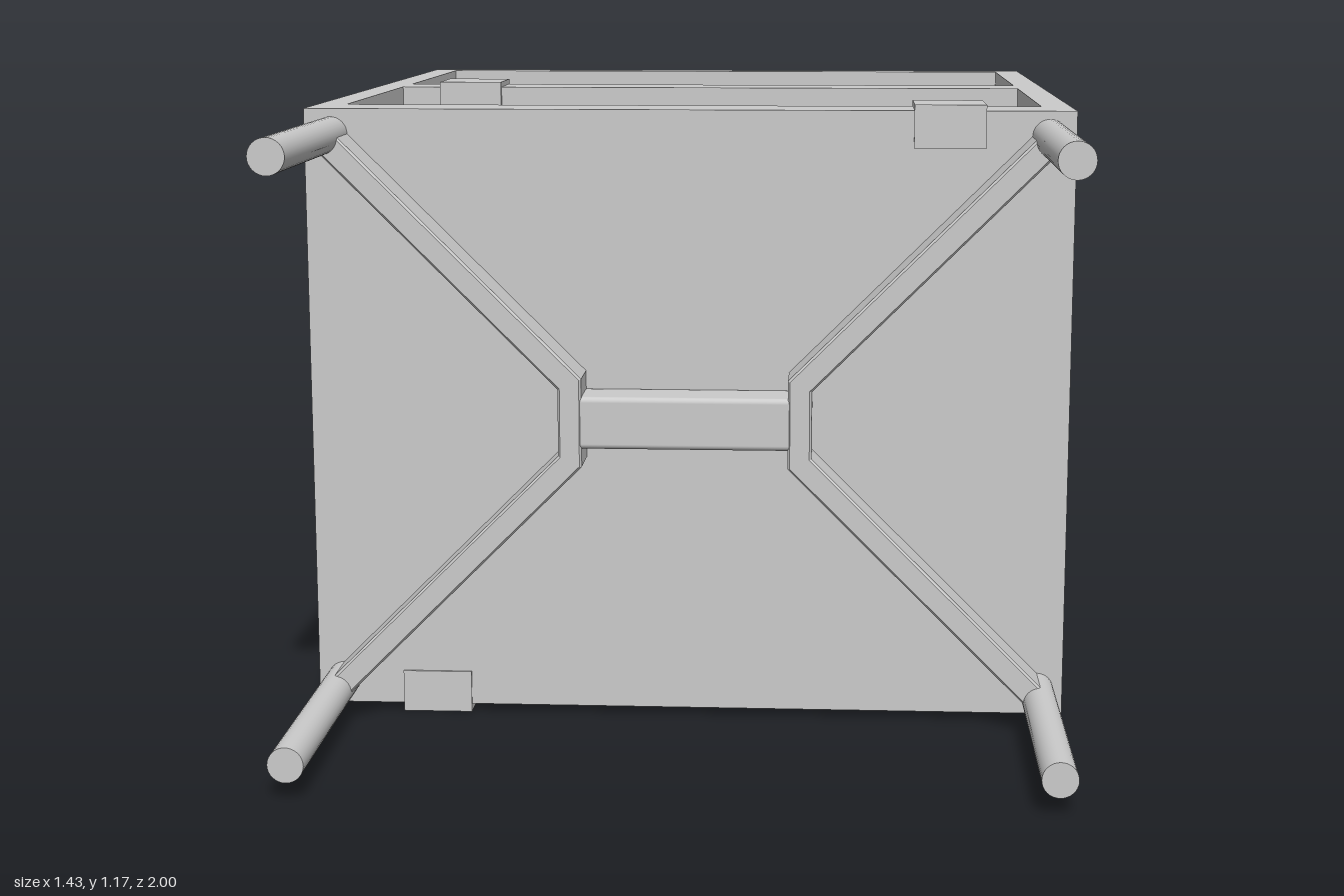
import * as THREE from 'three';
import { RoundedBoxGeometry } from 'three/addons/geometries/RoundedBoxGeometry.js';

const material = new THREE.MeshStandardMaterial({ color: 0xcccccc });
const CY = 0.589; // height of the cabinet's mid plane

function add(group, name, geometry, x = 0, y = 0, z = 0) {
  const mesh = new THREE.Mesh(geometry, material);
  mesh.name = name;
  mesh.position.set(x, y, z);
  group.add(mesh);
  return mesh;
}

// Rectangle as corner points
const rect = (x0, y0, x1, y1) => [[x0, y0], [x1, y0], [x1, y1], [x0, y1]].map(p => new THREE.Vector2(...p));

export function createModel() {
  const model = new THREE.Group();
  model.name = 'cabinet';

  // Cabinet shell: outline with two compartments, extruded upward
  const compartments = [[-0.945, -0.345], [-0.23, 0.37]];
  const outline = new THREE.Shape(rect(-0.715, -0.495, 0.715, 1));
  for (const [z0, z1] of compartments) outline.holes.push(new THREE.Path(rect(-0.66, -z1, 0.66, -z0)));
  const shell = new THREE.ExtrudeGeometry(outline, { depth: 1.147, bevelEnabled: false });
  shell.rotateX(-Math.PI / 2);
  add(model, 'cabinetShell', shell, 0, 0.015, 0);

  // Recessed panel closing each compartment near the underside
  for (const [z0, z1] of compartments) {
    add(model, 'compartmentPanel', new THREE.BoxGeometry(1.32, 0.04, z1 - z0), 0, 0.13, (z0 + z1) / 2);
  }

  // Clips wrapped over the shell's rims, top and bottom
  const clips = [
    [0.484, 1.133, 0.43], [-0.512, 1.133, -0.288],
    [-0.484, 0.04, 0.43], [0.535, 0.04, -0.288],
  ];
  for (const [x, y, z] of clips) add(model, 'rimClip', new THREE.BoxGeometry(0.132, 0.08, 0.138), x, y, z);

  // Four round legs pointing forward
  for (const sx of [-1, 1]) for (const sy of [-1, 1]) {
    const leg = new THREE.CylinderGeometry(0.032, 0.032, 0.51, 32);
    leg.rotateX(Math.PI / 2);
    add(model, 'leg', leg, sx * 0.666, CY + sy * 0.526, 0.745);
  }

  // Splayed brackets joining the legs on each side
  const half = [[0.65, 0.542], [0.191, 0.083]];
  const outer = [[0.682, 0.51], [0.235, 0.063]];
  const flip = ([x, y]) => [x, -y];
  const loop = [...half, flip(half[1]), flip(half[0]), flip(outer[0]), flip(outer[1]), outer[1], outer[0]];
  for (const s of [-1, 1]) {
    const shape = new THREE.Shape(loop.map(([x, y]) => new THREE.Vector2(s * x, y)));
    const bracket = new THREE.ExtrudeGeometry(shape, {
      depth: 0.095, bevelThickness: 0.005, bevelSize: 0.004, bevelOffset: -0.004, bevelSegments: 1,
    });
    add(model, 'legBracket', bracket, 0, CY, 0.49);
  }

  // Centre beam between the brackets
  add(model, 'centreBeam', new RoundedBoxGeometry(0.4, 0.098, 0.1, 3, 0.01), 0, CY, 0.539);

  return model;
}
